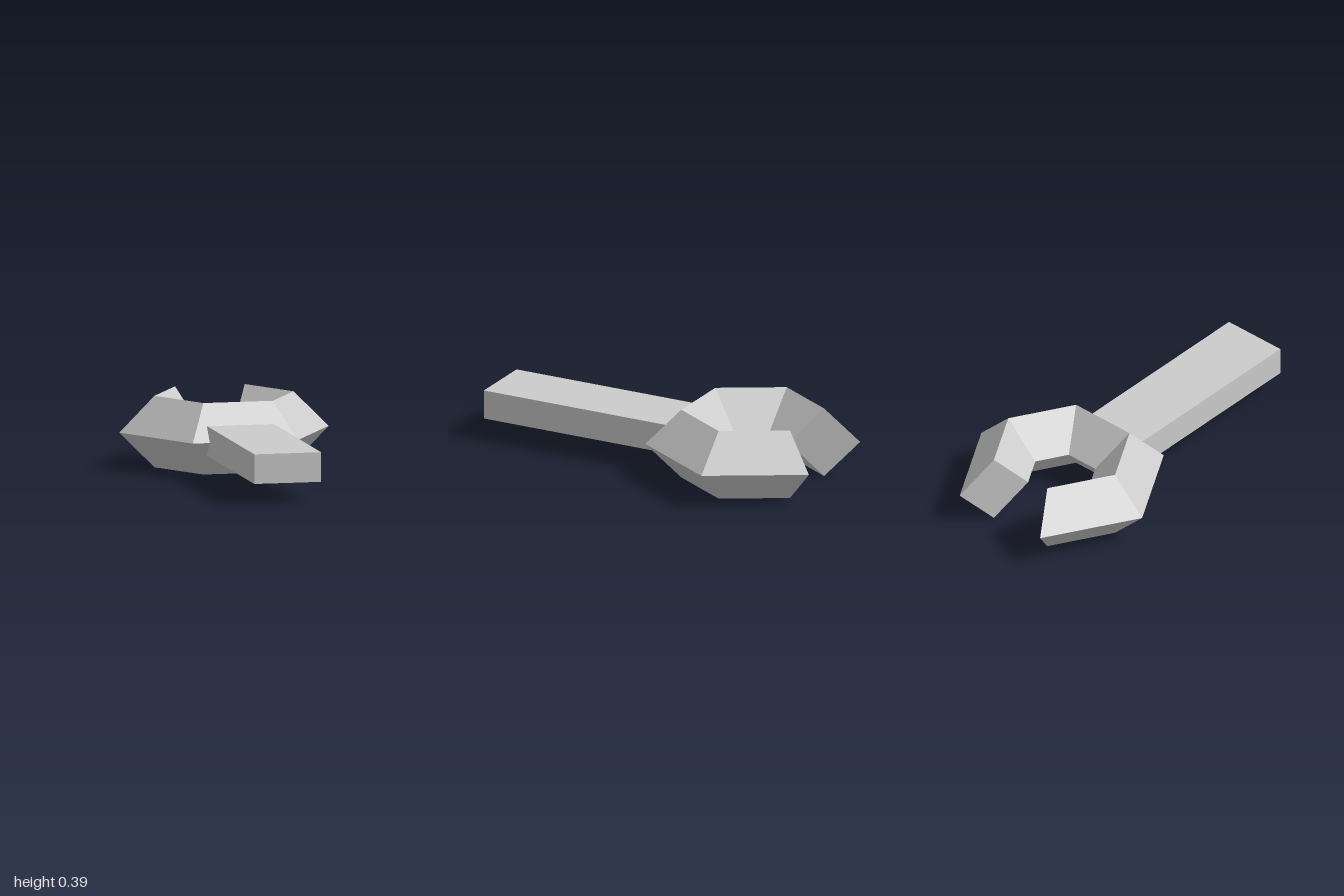
import * as THREE from 'three';

const RING_RADIUS = 0.382;
const TUBE = 0.193;
const deg = THREE.MathUtils.degToRad;

export function createModel() {
  const model = new THREE.Group();
  const material = new THREE.MeshStandardMaterial({ color: 0xcccccc, flatShading: true });

  const add = (parent, geometry, name) => {
    const mesh = new THREE.Mesh(geometry, material);
    mesh.name = name;
    parent.add(mesh);
    return mesh;
  };

  // Open hexagonal jaw: five of six segments with a diamond cross-section
  const jaw = new THREE.Group();
  jaw.name = 'jaw';
  jaw.position.set(-0.425, TUBE, -0.224);
  model.add(jaw);

  const start = deg(240);
  const sweep = deg(300);
  const ring = new THREE.TorusGeometry(RING_RADIUS, TUBE, 4, 5, sweep);
  ring.rotateZ(start).rotateX(Math.PI / 2);
  add(jaw, ring, 'jawRing');

  // Flat diamond faces closing the two jaw tips; side gives the outward direction
  for (const [angle, side, name] of [[start, -1, 'backTip'], [start + sweep, 1, 'rightTip']]) {
    const tip = add(jaw, new THREE.CircleGeometry(TUBE, 4), name);
    tip.position.set(RING_RADIUS * Math.cos(angle), 0, RING_RADIUS * Math.sin(angle));
    tip.rotation.y = Math.atan2(-side * Math.sin(angle), side * Math.cos(angle));
  }

  // Straight bar handle, set into the ring's front left side
  const handle = add(model, new THREE.BoxGeometry(1.108, 0.16, 0.367), 'handle');
  handle.position.set(0.425, 0.195, 0.279);
  handle.rotation.y = deg(-30);

  return model;
}
